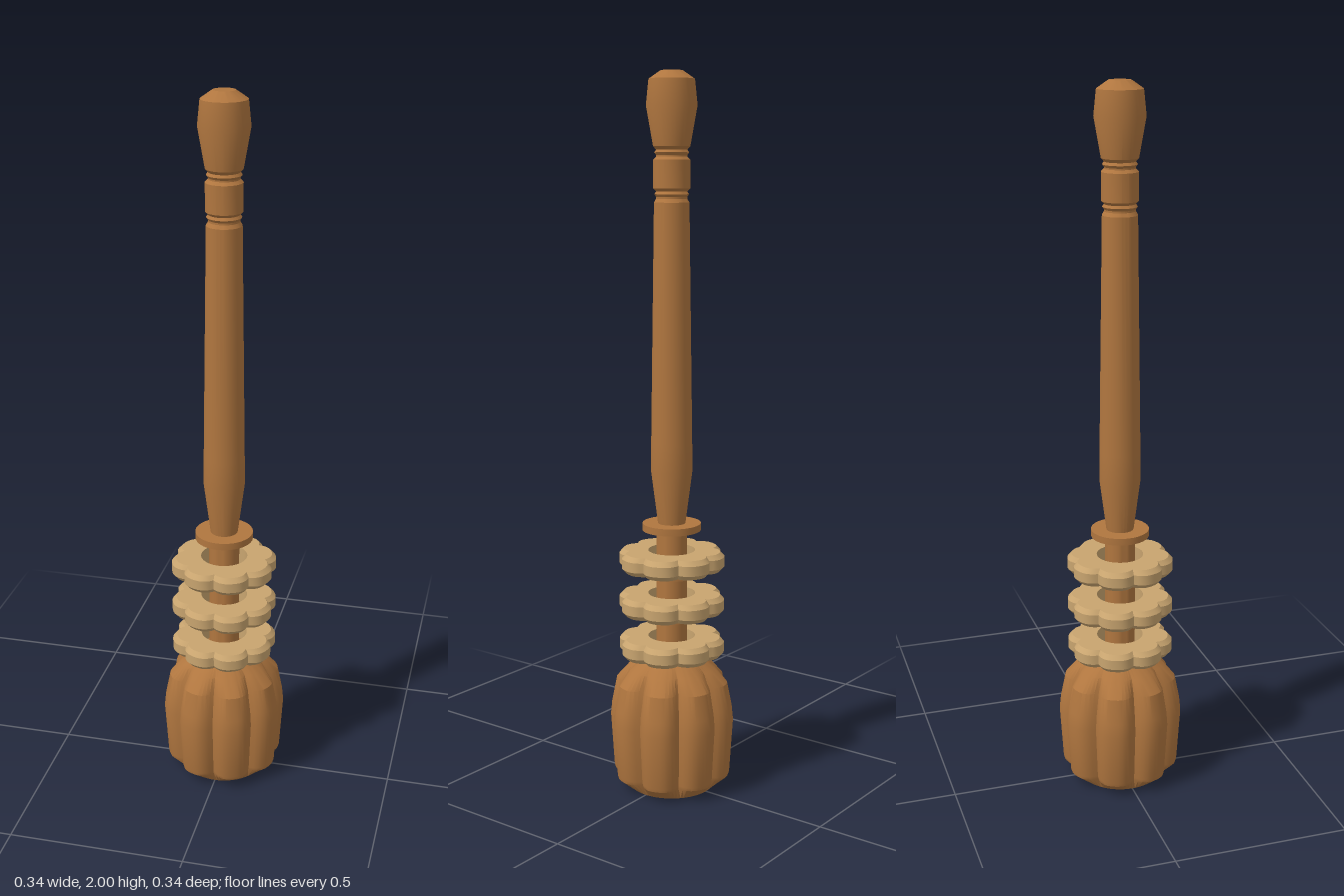
import * as THREE from 'three';
import { toCreasedNormals } from 'three/addons/utils/BufferGeometryUtils.js';

const wood = new THREE.MeshStandardMaterial({ color: 0xb0763f });
wood.name = 'warm wood';
const paleWood = new THREE.MeshStandardMaterial({ color: 0xc8a46f });
paleWood.name = 'pale wood';

const LOBES = 8;

function turned(profile, segments) {
  return new THREE.LatheGeometry(profile.map(([r, y]) => new THREE.Vector2(r, y)), segments);
}

// 0 in the middle of a lobe, 1 at the bottom of a groove
function groove(angle) {
  return Math.pow(1 - Math.abs(Math.sin(angle * LOBES / 2)), 1.5);
}

// Pull the surface inward along the grooves; depth(radius, y) gives the amount
function flute(geometry, depth) {
  const p = geometry.attributes.position;
  for (let i = 0; i < p.count; i++) {
    const x = p.getX(i), y = p.getY(i), z = p.getZ(i);
    const r = Math.hypot(x, z);
    if (r < 1e-5) continue;
    const k = 1 - depth(r, y) * groove(Math.atan2(z, x)) / r;
    p.setXYZ(i, x * k, y, z * k);
  }
  return geometry;
}

function addPart(group, name, geometry, material, crease = 0.5) {
  const mesh = new THREE.Mesh(toCreasedNormals(geometry, crease), material);
  mesh.name = name;
  group.add(mesh);
  return mesh;
}

export function createModel() {
  const model = new THREE.Group();
  model.name = 'woodenWhisk';

  // Fluted head, plain at the foot and shoulder
  const head = turned([
    [0, 0], [0.122, 0], [0.165, 0.035], [0.168, 0.045], [0.178, 0.2],
    [0.174, 0.24], [0.16, 0.31], [0.125, 0.35], [0.085, 0.38], [0, 0.38],
  ], 96);
  flute(head, (r, y) => (y < 0.01 || y > 0.37 ? 0 : y > 0.34 ? 0.012 : 0.03));
  addPart(model, 'flutedHead', head, wood);

  // Slim spindle carrying the loose rings
  addPart(model, 'spindle', new THREE.CylinderGeometry(0.043, 0.043, 0.4, 32).translate(0, 0.57, 0), wood);

  // Retaining collars
  for (const [y, h] of [[0.505, 0.014], [0.628, 0.014], [0.76, 0.02]]) {
    addPart(model, 'collar', new THREE.CylinderGeometry(0.082, 0.082, h, 32).translate(0, y, 0), wood);
  }

  // Loose scalloped rings with bevelled rims
  for (const y of [0.415, 0.54, 0.665]) {
    const ring = turned([
      [0.066, -0.027], [0.138, -0.027], [0.15, -0.014], [0.15, 0.014],
      [0.138, 0.027], [0.066, 0.027], [0.066, -0.027],
    ], 96);
    flute(ring, (r) => (r > 0.1 ? 0.02 : 0));
    addPart(model, 'looseRing', ring.translate(0, y, 0), paleWood);
  }

  // Tapered handle with two turned grooves and a rounded knob
  addPart(model, 'handle', turned([
    [0, 0.765], [0.038, 0.765], [0.058, 0.92], [0.057, 1.0], [0.048, 1.655],
    [0.042, 1.665], [0.042, 1.67], [0.047, 1.677], [0.042, 1.684], [0.05, 1.692],
    [0.05, 1.768], [0.042, 1.776], [0.042, 1.78], [0.047, 1.787], [0.042, 1.794], [0.05, 1.803],
    [0.069, 1.91], [0.062, 1.978], [0.03, 2], [0, 2],
  ], 32), wood, 0.35);

  return model;
}
